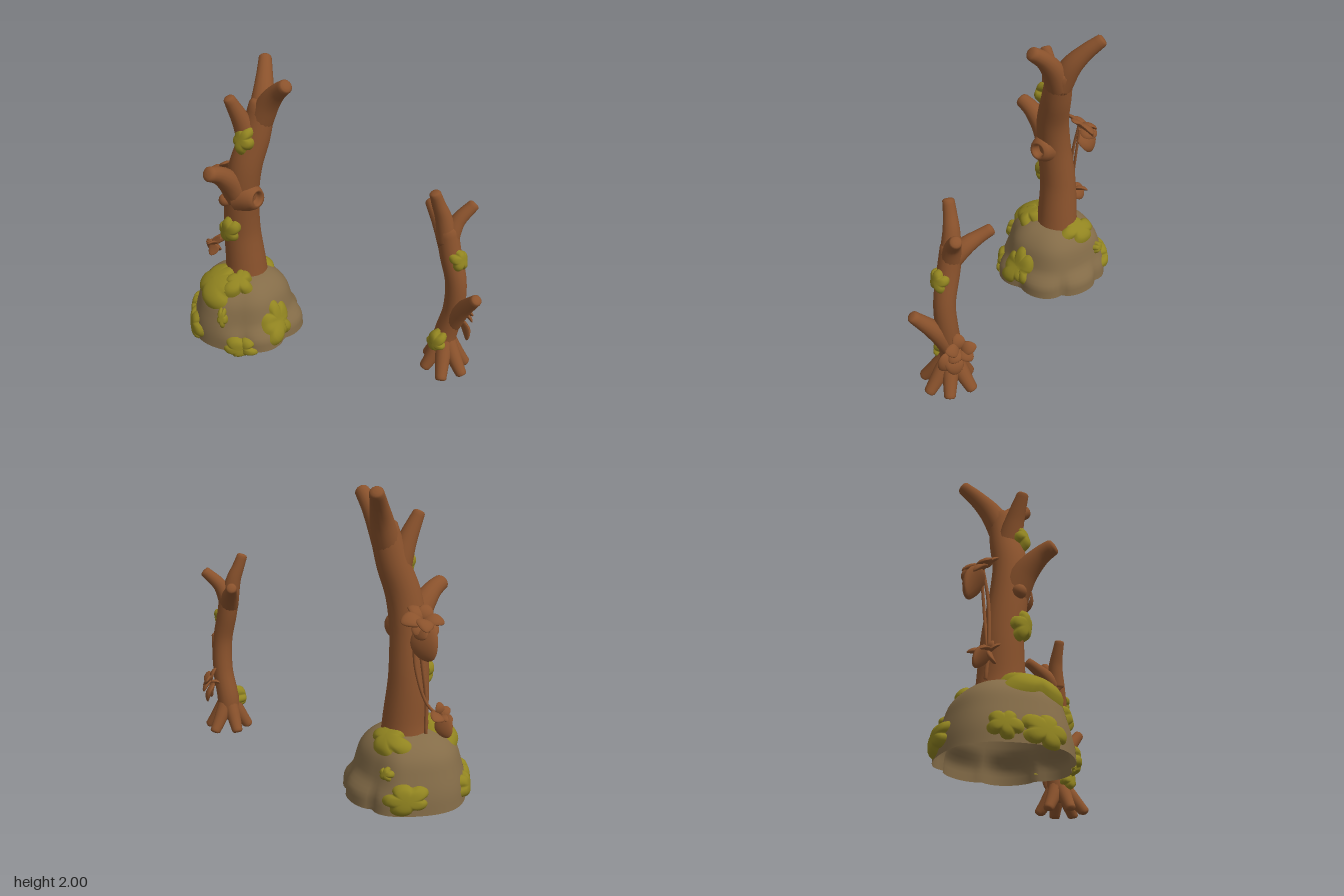
import * as THREE from 'three';

const bark = new THREE.MeshStandardMaterial({ color: 0x8a522c });
const stone = new THREE.MeshStandardMaterial({ color: 0x846c48, side: THREE.DoubleSide });
const mossy = new THREE.MeshStandardMaterial({ color: 0x918420, side: THREE.DoubleSide });
bark.name = 'bark brown';
stone.name = 'stone tan';
mossy.name = 'moss green';

const V = (x, y, z) => new THREE.Vector3(x, y, z);

function add(parent, name, geometry, material) {
  const mesh = new THREE.Mesh(geometry, material);
  mesh.name = name;
  parent.add(mesh);
  return mesh;
}

function indexed(positions, index) {
  const g = new THREE.BufferGeometry();
  g.setAttribute('position', new THREE.Float32BufferAttribute(positions, 3));
  g.setIndex(index);
  g.computeVertexNormals();
  return g;
}

// Path of [x, y, z, radius] stations
function makePath(stations) {
  const curve = new THREE.CatmullRomCurve3(stations.map(s => V(s[0], s[1], s[2])));
  const radius = t => {
    const k = Math.min(Math.max(t, 0), 0.9999) * (stations.length - 1), i = Math.floor(k);
    return THREE.MathUtils.lerp(stations[i][3], stations[i + 1][3], k - i);
  };
  return { curve, radius };
}

// Tapered tube with softly closed ends
function limb(stations, floor = -1, n = 18, sides = 16) {
  const { curve, radius } = makePath(stations);
  const frames = curve.computeFrenetFrames(n);
  const rings = [[0, 0, 0]];
  for (let i = 0; i <= n; i++) rings.push([i, 1, 0]);
  rings.push([n, 0.8, 0.25], [n, 0.4, 0.34], [n, 0, 0.36]);
  const pos = [], idx = [];
  rings.forEach(([i, scale, push], k) => {
    const c = curve.getPointAt(i / n);
    const r = radius(curve.getUtoTmapping(i / n));
    c.addScaledVector(frames.tangents[i], push * r);
    for (let j = 0; j < sides; j++) {
      const a = j / sides * Math.PI * 2;
      const p = c.clone()
        .addScaledVector(frames.normals[i], Math.cos(a) * r * scale)
        .addScaledVector(frames.binormals[i], Math.sin(a) * r * scale);
      pos.push(p.x, Math.max(p.y, floor), p.z);
      if (k < rings.length - 1) {
        const A = k * sides + j, B = k * sides + (j + 1) % sides;
        idx.push(A, B, A + sides, B, B + sides, A + sides);
      }
    }
  });
  return indexed(pos, idx);
}

// Surface of a limb as a function of angle and path position
function limbSurface(stations) {
  const { curve, radius } = makePath(stations);
  return (a, t) => {
    const r = radius(t);
    return curve.getPoint(t).add(V(Math.cos(a) * r, 0, Math.sin(a) * r));
  };
}

// Boulder: domed profile (x = radius) with three lobes round the front and left foot
const rockProfile = new THREE.CatmullRomCurve3([
  V(0.4, 0.03, 0), V(0.39, 0.14, 0), V(0.362, 0.25, 0), V(0.322, 0.36, 0),
  V(0.24, 0.44, 0), V(0.12, 0.485, 0), V(0, 0.495, 0)]);
function rockSurface(a, t) {
  const p = rockProfile.getPoint(THREE.MathUtils.clamp(t, 0, 1));
  const side = THREE.MathUtils.smoothstep(Math.cos(a - 0.6), -0.3, 0.3);
  const foot = 1 - THREE.MathUtils.smoothstep(p.y, 0.1, 0.22);
  const lobe = Math.sqrt(Math.abs(Math.sin(3.5 * (a - 0.13))));
  const r = p.x * (1 - 0.12 * side + 0.02 * Math.sin(5 * a)) + side * foot * 0.055 * lobe;
  return V(-0.42 + Math.cos(a) * r, p.y + Math.min(t, 0) * 0.5, -0.42 + Math.sin(a) * r);
}
function rockGeometry(segs = 72, rows = 26) {
  const pos = [], idx = [];
  for (let i = 0; i <= rows; i++) for (let j = 0; j < segs; j++) {
    // The angle starts at the back, away from the lobes
    pos.push(...rockSurface(j / segs * Math.PI * 2 - 2.5, i / rows).toArray());
    if (i < rows) {
      const A = i * segs + j, B = i * segs + (j + 1) % segs;
      idx.push(A, A + segs, B, B, A + segs, B + segs);
    }
  }
  return indexed(pos, idx);
}

// Round-lobed cushion of moss that hugs a surface
function mossPatch(surface, a0, t0, ra, rt, seed, thick = 0.034, segs = 60, rings = 7) {
  const pos = [], idx = [], e = 0.01;
  for (let i = 0; i <= rings; i++) for (let j = 0; j < segs; j++) {
    const f = j / segs * Math.PI * 2, q = i / rings;
    const R = q * (0.62 + 0.4 * Math.sqrt(Math.abs(Math.sin(2.5 * f + seed))) + 0.1 * Math.sin(2 * f + seed * 2.3));
    const a = a0 + ra * R * Math.cos(f);
    const t = THREE.MathUtils.clamp(t0 + rt * R * Math.sin(f), -0.06, 0.95);
    const p = surface(a, t);
    const da = surface(a + e, t).sub(surface(a - e, t));
    const dt = surface(a, t + e).sub(surface(a, t - e));
    p.addScaledVector(dt.cross(da).normalize(), thick * (1 - q ** 5) + 0.001);
    pos.push(p.x, Math.max(p.y, 0), p.z);
    if (i < rings) {
      const A = i * segs + j, B = i * segs + (j + 1) % segs;
      idx.push(A, B, A + segs, B, B + segs, A + segs);
    }
  }
  return indexed(pos, idx);
}

// Plump leaf, stem at the origin, tip toward +z
function leafGeometry() {
  const g = new THREE.SphereGeometry(1, 14, 10).rotateX(Math.PI / 2);
  const p = g.attributes.position;
  for (let i = 0; i < p.count; i++) {
    const z = p.getZ(i);
    p.setXYZ(i, p.getX(i) * 0.42 * (1 - 0.2 * z), p.getY(i) * 0.14 - 0.12 * z * z, (z + 1) / 2);
  }
  g.computeVertexNormals();
  return g;
}
const leaf = leafGeometry();
function leafCluster(parent, name, center, size, up, dirs) {
  const group = new THREE.Group();
  group.name = name;
  for (const [x, y, z, s = 1] of dirs) {
    const m = add(group, 'leaf', leaf, bark);
    m.up.copy(up);
    m.lookAt(x, y, z);
    m.scale.setScalar(size * s);
  }
  group.position.copy(center);
  parent.add(group);
}

export function createModel() {
  const model = new THREE.Group();
  const tall = new THREE.Group(), small = new THREE.Group();
  tall.name = 'tallTree';
  small.name = 'smallTree';
  model.add(tall, small);

  add(tall, 'boulder', rockGeometry(), stone);

  // Tall trunk and branches
  const trunk = [[-0.41, 0.36, -0.45, 0.17], [-0.405, 0.5, -0.45, 0.147], [-0.42, 0.8, -0.453, 0.128],
    [-0.42, 1.1, -0.415, 0.118], [-0.39, 1.32, -0.39, 0.112], [-0.32, 1.52, -0.385, 0.103], [-0.26, 1.74, -0.385, 0.088]];
  add(tall, 'trunk', limb(trunk, -1, 30, 20), bark);
  [
    [[-0.285, 1.62, -0.385, 0.09], [-0.235, 1.78, -0.45, 0.073], [-0.2, 1.88, -0.53, 0.056], [-0.165, 1.965, -0.625, 0.043]],
    [[-0.285, 1.62, -0.385, 0.09], [-0.235, 1.77, -0.32, 0.073], [-0.2, 1.86, -0.25, 0.058], [-0.17, 1.93, -0.16, 0.046]],
    [[-0.42, 1.06, -0.41, 0.11], [-0.51, 1.22, -0.36, 0.082], [-0.6, 1.32, -0.3, 0.06], [-0.67, 1.36, -0.255, 0.05]],
    [[-0.34, 1.46, -0.385, 0.095], [-0.41, 1.65, -0.375, 0.062], [-0.485, 1.815, -0.36, 0.038]],
  ].forEach(b => add(tall, 'branch', limb(b), bark));

  // Hollow knot and a small burr
  const knotProfile = [[0.12, -0.1], [0.1, -0.03], [0.08, 0.02], [0.062, 0.045], [0.047, 0.042], [0.04, 0.02], [0.032, -0.01], [0, -0.02]];
  const knot = add(tall, 'knotHole', new THREE.LatheGeometry(knotProfile.map(p => new THREE.Vector2(...p)), 20), bark);
  knot.position.set(-0.37, 1.11, -0.305);
  knot.quaternion.setFromUnitVectors(V(0, 1, 0), V(0.55, 0.1, 0.83).normalize());
  add(tall, 'burr', new THREE.SphereGeometry(0.045, 14, 10), bark).position.set(-0.54, 1.07, -0.41);

  // Climbing vines with leaves at both ends
  add(tall, 'vine', limb([[-0.5, 0.48, -0.6, 0.012], [-0.5, 0.7, -0.585, 0.012], [-0.46, 1, -0.575, 0.011], [-0.43, 1.22, -0.6, 0.01]], -1, 18, 8), bark);
  add(tall, 'vine', limb([[-0.58, 0.6, -0.64, 0.01], [-0.51, 0.66, -0.6, 0.01], [-0.43, 0.9, -0.58, 0.01], [-0.41, 1.2, -0.6, 0.01]], -1, 18, 8), bark);
  leafCluster(tall, 'upperLeaves', V(-0.46, 1.22, -0.62), 0.15, V(-0.2, 0.8, -0.5),
    [[-0.9, -0.1, -0.3, 0.85], [0.9, 0, -0.3], [0.1, -0.3, -1, 0.9], [-0.4, 0.55, 0.6, 0.75], [0.5, 0.5, 0.5, 0.8], [0.6, -0.6, -0.8, 0.9], [-0.5, -0.6, -0.8, 0.9]]);
  leafCluster(tall, 'droopingLeaf', V(-0.44, 1.18, -0.62), 0.23, V(0.7, 0.5, -0.4), [[-0.1, -0.82, -0.6], [0.1, -0.3, -0.9, 0.6]]);
  leafCluster(tall, 'lowerLeaves', V(-0.58, 0.61, -0.63), 0.12, V(-0.2, 0.8, -0.5),
    [[-0.6, 0.3, 0.3, 0.7], [-0.5, -0.1, -0.8, 0.8], [0.5, 0.1, -0.8], [0, 0.8, 0.2, 0.65]]);
  leafCluster(tall, 'lowerDroopingLeaves', V(-0.58, 0.61, -0.63), 0.155, V(0.7, 0.5, -0.4), [[-0.1, -0.7, -0.8], [-0.4, -0.8, 0.1, 0.65]]);

  // Moss on the boulder: angle, profile position, angular and profile half sizes, seed, thickness
  [
    [1.15, 0.25, 0.36, 0.24, 1.0], [1.98, 0.04, 0.34, 0.13, 2.2], [3.1, 0.12, 0.34, 0.17, 3.1],
    [2.95, 0.69, 0.85, 0.28, 0.4, 0.045], [2.1, 0.76, 0.65, 0.17, 4.4, 0.055], [-0.75, 0.7, 0.75, 0.18, 5.2],
    [2.35, 0.37, 0.11, 0.11, 2.7], [-1.36, 0.16, 0.4, 0.14, 1.7, 0.04], [-1.0, 0.37, 0.13, 0.07, 3.6],
    [-2.62, 0.15, 0.24, 0.14, 5.9, 0.036],
  ].forEach(p => add(tall, 'boulderMoss', mossPatch(rockSurface, ...p), mossy));

  // Moss on the tall trunk
  const trunkSide = limbSurface(trunk);
  add(tall, 'trunkMoss', mossPatch(trunkSide, 2.6, 0.36, 0.7, 0.06, 1.2, 0.045), mossy);
  add(tall, 'trunkMoss', mossPatch(trunkSide, 2.6, 0.84, 0.75, 0.075, 2.5, 0.055), mossy);

  // Small trunk, branches and splayed roots
  const stem = [[0.66, 0.22, 0.62, 0.08], [0.665, 0.36, 0.615, 0.078], [0.695, 0.57, 0.64, 0.07],
    [0.69, 0.8, 0.65, 0.068], [0.655, 1, 0.61, 0.07], [0.635, 1.16, 0.58, 0.068]];
  add(small, 'trunk', limb(stem, 0.13, 26), bark);
  [
    [[0.64, 1.08, 0.59, 0.068], [0.605, 1.25, 0.57, 0.052], [0.57, 1.34, 0.565, 0.042], [0.54, 1.42, 0.565, 0.036]],
    [[0.64, 1.08, 0.59, 0.068], [0.7, 1.21, 0.585, 0.048], [0.8, 1.31, 0.59, 0.037]],
    [[0.64, 1.06, 0.6, 0.066], [0.635, 1.15, 0.5, 0.056], [0.63, 1.2, 0.41, 0.042], [0.63, 1.235, 0.34, 0.036]],
    [[0.695, 0.46, 0.63, 0.065], [0.71, 0.62, 0.72, 0.058], [0.73, 0.78, 0.85, 0.037]],
  ].forEach(b => add(small, 'branch', limb(b), bark));
  [[0.525, 0.63], [0.57, 0.78], [0.72, 0.78], [0.8, 0.67], [0.77, 0.52], [0.61, 0.5]].forEach(([x, z]) => {
    const mid = (c, v) => c + (v - c) * 0.5;
    add(small, 'root', limb([[0.665, 0.38, 0.615, 0.055], [mid(0.66, x), 0.25, mid(0.62, z), 0.05], [x, 0.14, z, 0.037]], 0.13), bark);
  });

  // Leaves and moss on the small tree
  leafCluster(small, 'sideLeaves', V(0.795, 0.51, 0.59), 0.1, V(0.8, 0.6, 0),
    [[-0.4, 1, 0.1], [0.3, 0.3, -0.9], [0.3, 0.3, 0.9], [0.6, -0.6, -0.7], [0.5, -0.5, 0.8], [-1, -0.3, 0.1, 0.9]]);
  leafCluster(small, 'lowLeaves', V(0.78, 0.47, 0.63), 0.14, V(1, 0.2, 0), [[0.4, -1, 0], [0.1, -0.8, 0.6]]);
  const stemSide = limbSurface(stem);
  add(small, 'stemMoss', mossPatch(stemSide, 1.15, 0.78, 0.95, 0.085, 0.6), mossy);
  add(small, 'stemMoss', mossPatch(stemSide, 2.7, 0.19, 0.9, 0.09, 2.0, 0.055), mossy);
  return model;
}
